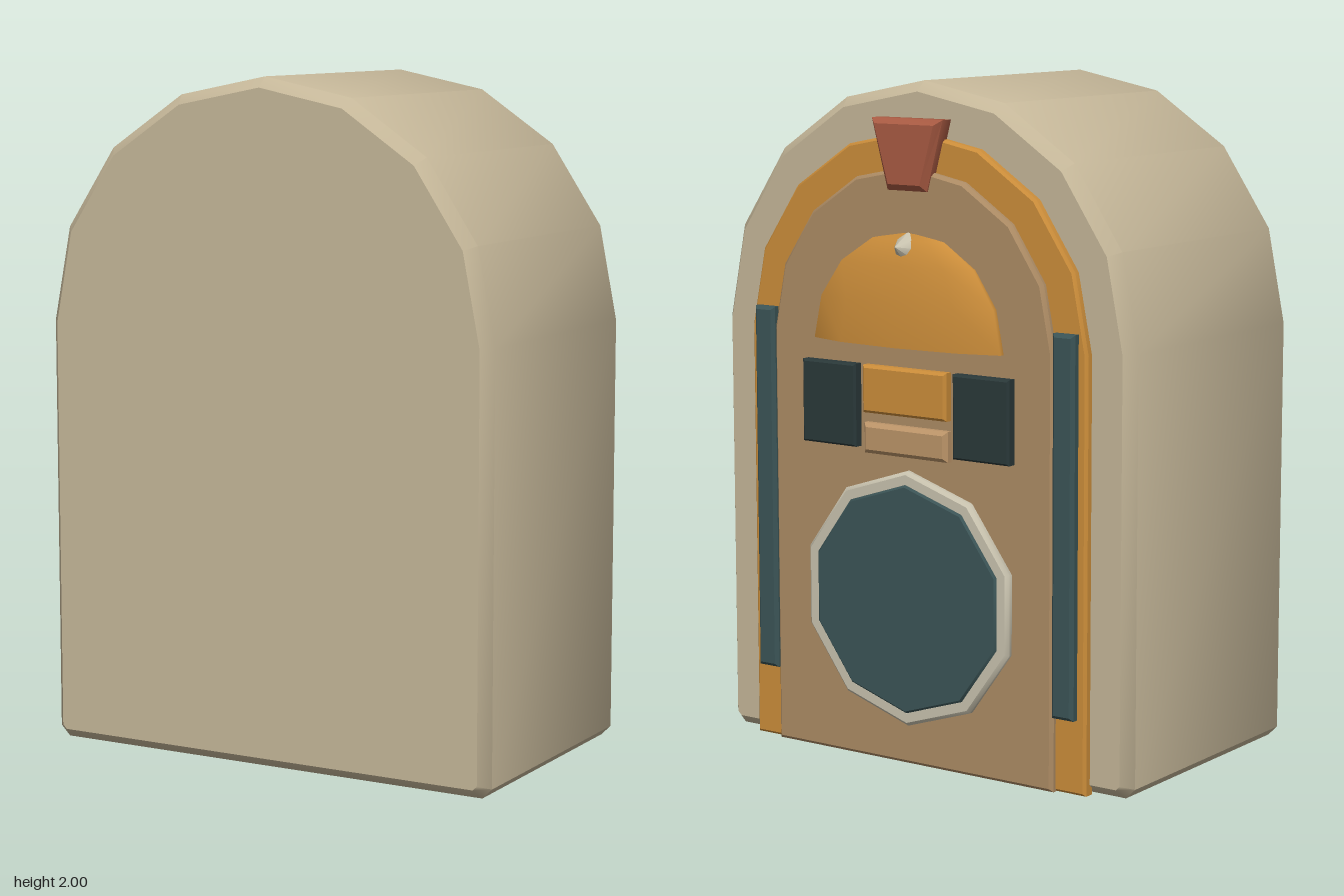
import * as THREE from 'three';
import { toCreasedNormals } from 'three/addons/utils/BufferGeometryUtils.js';

const material = (name, color) => {
  const m = new THREE.MeshStandardMaterial({ color });
  m.name = name;
  return m;
};

// Outline with a straight base and an eight-sided arch on top
function archShape(radius, springY, chamfer = 0) {
  const pts = [];
  if (chamfer) pts.push([-radius, chamfer], [-radius + chamfer, 0], [radius - chamfer, 0], [radius, chamfer]);
  else pts.push([-radius, 0], [radius, 0]);
  for (let i = 0; i <= 8; i++) {
    const a = (i / 8) * Math.PI;
    pts.push([radius * Math.cos(a), springY + radius * Math.sin(a)]);
  }
  return new THREE.Shape(pts.map(p => new THREE.Vector2(...p)));
}

// Upright trapezoid (or rectangle) between two heights
function slabShape(x, bottomHalf, topHalf, y0, y1) {
  return new THREE.Shape([
    new THREE.Vector2(x - bottomHalf, y0), new THREE.Vector2(x + bottomHalf, y0),
    new THREE.Vector2(x + topHalf, y1), new THREE.Vector2(x - topHalf, y1),
  ]);
}

// Ten-sided outline with a corner at the top
function decagon(radius, cy, Type = THREE.Shape) {
  const pts = [];
  for (let i = 0; i < 10; i++) {
    const a = Math.PI / 2 + (i / 10) * Math.PI * 2;
    pts.push(new THREE.Vector2(radius * Math.cos(a), cy + radius * Math.sin(a)));
  }
  return new Type(pts);
}

export function createModel() {
  const group = new THREE.Group();
  const cabinetTan = material('cabinet tan', 0xc4b698);
  const amber = material('amber', 0xcb8d3a);
  const panelBrown = material('panel brown', 0xac8b64);
  const stripTan = material('strip tan', 0xbb9468);
  const teal = material('dark teal', 0x3b5456);
  const black = material('blue black', 0x2a3839);
  const red = material('brick red', 0xa85a42);
  const silver = material('silver', 0xc8c2ae);

  const add = (name, geometry, mat) => {
    const mesh = new THREE.Mesh(geometry, mat);
    mesh.name = name;
    group.add(mesh);
    return mesh;
  };

  // Bevelled plate filling z0..z1, bevel kept inside the outline
  const plate = (name, shape, z0, z1, bevel, mat, depthBevel = bevel) => {
    const g = new THREE.ExtrudeGeometry(shape, {
      depth: z1 - z0 - 2 * depthBevel, steps: 1, curveSegments: 1,
      bevelEnabled: bevel > 0, bevelSegments: 1,
      bevelSize: bevel, bevelThickness: depthBevel, bevelOffset: -bevel,
    });
    g.translate(0, 0, z0 + depthBevel);
    return add(name, toCreasedNormals(g, Math.PI / 4 - 0.01), mat);
  };

  // Cabinet, with all the fittings on its -z face
  plate('cabinet', archShape(0.73, 1.27, 0.03), -0.38, 0.495, 0.03, cabinetTan, 0.035);
  plate('archFrame', archShape(0.6, 1.26), -0.405, -0.36, 0.008, amber);
  plate('facePanel', archShape(0.5, 1.26), -0.425, -0.385, 0.01, panelBrown);
  plate('keystone', slabShape(0, 0.07, 0.125, 1.69, 1.895), -0.447, -0.37, 0.018, red);

  // Side tubes and selector grilles
  for (const s of [-1, 1]) {
    plate('sideTube', slabShape(s * 0.535, 0.037, 0.037, 0.22, 1.32), -0.432, -0.395, 0.01, teal);
    plate('selectorGrille', slabShape(s * 0.272, 0.098, 0.098, 0.935, 1.18), -0.456, -0.41, 0.006, black);
  }

  // Title card and the strip below it
  plate('titleCard', slabShape(0, 0.15, 0.15, 1.04, 1.18), -0.455, -0.41, 0.008, amber);
  plate('buttonStrip', slabShape(0, 0.15, 0.15, 0.92, 1.01), -0.453, -0.41, 0.012, stripTan);

  // Speaker ring and cloth
  const ring = decagon(0.38, 0.5);
  ring.holes.push(decagon(0.33, 0.5, THREE.Path));
  plate('speakerRing', ring, -0.446, -0.41, 0.01, silver);
  plate('speakerCloth', decagon(0.342, 0.5), -0.452, -0.41, 0.008, teal);

  // Half dome with a closed underside
  const dome = new THREE.Group();
  dome.name = 'dome';
  const shell = add('domeShell', new THREE.SphereGeometry(1, 10, 4, Math.PI / 2, Math.PI * 2, 0, Math.PI / 2), amber);
  const base = add('domeUnderside', new THREE.CircleGeometry(1, 10, Math.PI / 2).rotateX(Math.PI / 2), amber);
  dome.add(shell, base);
  dome.scale.set(0.35, 0.33, 0.075);
  dome.position.set(0, 1.245, -0.418);
  group.add(dome);

  // Small pointed stud on the dome
  const stud = add('domeStud', new THREE.ConeGeometry(0.047, 0.06, 8), silver);
  stud.rotation.x = -Math.PI / 2 + 0.15;
  stud.position.set(0, 1.53, -0.46);

  return group;
}
